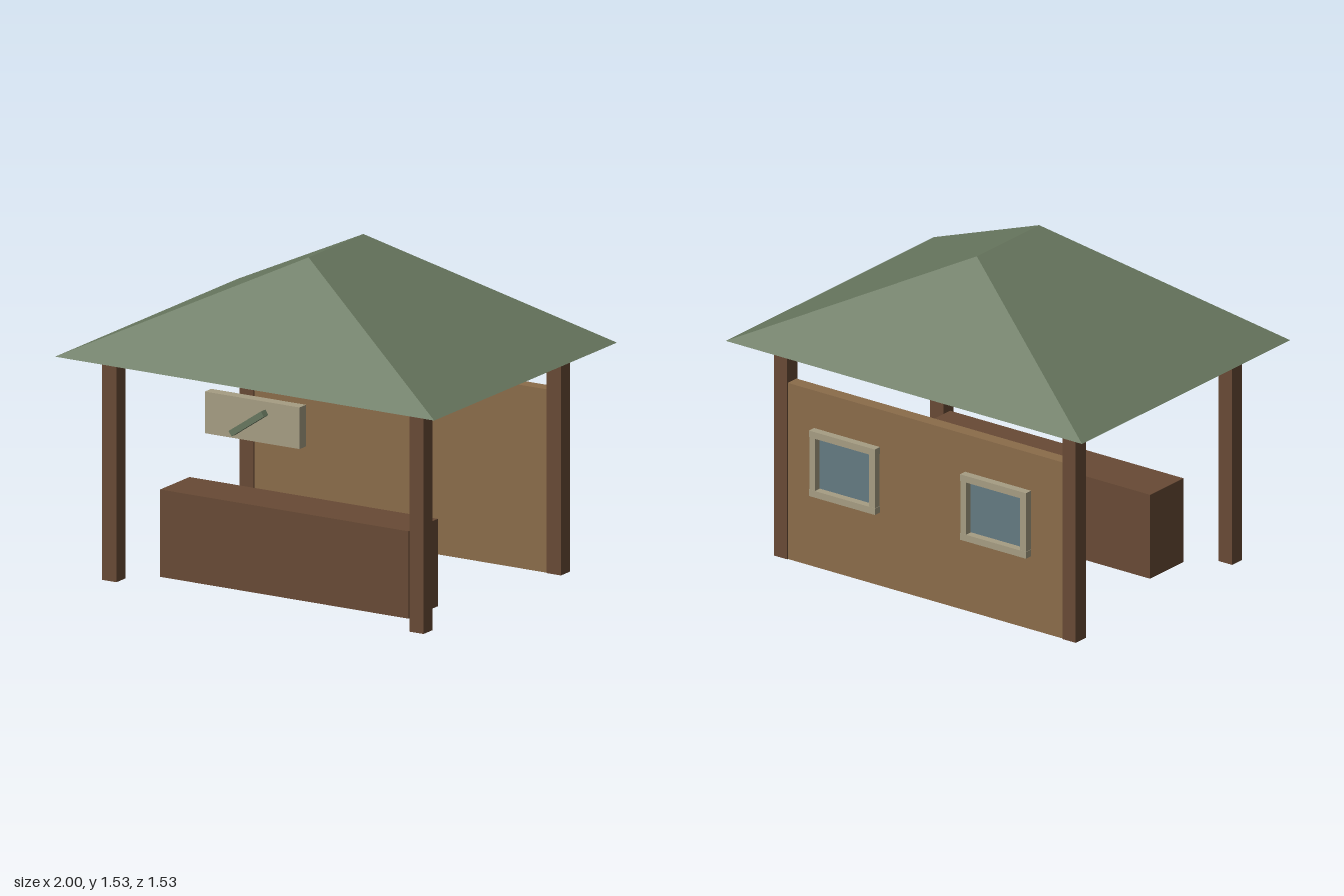
import * as THREE from 'three';
import { ConvexGeometry } from 'three/addons/geometries/ConvexGeometry.js';

function flat(name, color) {
  const m = new THREE.MeshStandardMaterial({ color });
  m.name = name;
  return m;
}

export function createModel() {
  const roofGreen = flat('roof green', 0x68775f);
  const darkWood = flat('dark wood', 0x684a35);
  const wallWood = flat('wall wood', 0x8b6c4a);
  const paleTrim = flat('pale trim', 0xa69d83);
  const glassBlue = flat('glass blue', 0x647a82);

  const model = new THREE.Group();
  model.name = 'openPavilion';

  const box = (parent, name, mat, [w, h, d], [x, y, z]) => {
    const mesh = new THREE.Mesh(new THREE.BoxGeometry(w, h, d), mat);
    mesh.name = name;
    mesh.position.set(x, y, z);
    parent.add(mesh);
    return mesh;
  };

  // Hipped roof with a flat underside and a ridge running front to back
  const eave = 1.048, ridge = 1.53;
  const points = [];
  for (const s of [-1, 1]) {
    points.push(new THREE.Vector3(-1, eave, s * 0.767), new THREE.Vector3(1, eave, s * 0.767));
    points.push(new THREE.Vector3(0, ridge, s * 0.23));
  }
  const roof = new THREE.Mesh(new ConvexGeometry(points), roofGreen);
  roof.name = 'roof';
  model.add(roof);

  // Corner posts
  for (const sx of [-1, 1]) {
    for (const sz of [-1, 1]) {
      box(model, 'cornerPost', darkWood, [0.075, 1.04, 0.075], [sx * 0.81, 0.52, sz * 0.576]);
    }
  }

  // Half-height back wall and front counter
  box(model, 'backWall', wallWood, [1.55, 0.85, 0.064], [0, 0.425, -0.576]);
  box(model, 'counter', darkWood, [1.31, 0.405, 0.246], [0, 0.2025, 0.31]);

  // Framed windows on the outside of the back wall
  for (const sx of [-1, 1]) {
    const win = new THREE.Group();
    win.name = 'window';
    win.position.set(sx * 0.424, 0.522, 0);
    box(win, 'windowGlass', glassBlue, [0.308, 0.25, 0.014], [0, 0, -0.625]);
    for (const s of [-1, 1]) {
      box(win, 'frameRail', paleTrim, [0.37, 0.032, 0.038], [0, s * 0.142, -0.648]);
      box(win, 'frameStile', paleTrim, [0.032, 0.252, 0.036], [s * 0.168, 0, -0.648]);
    }
    model.add(win);
  }

  // Hanging sign board with a slanted bar on its face
  box(model, 'signBoard', paleTrim, [0.5, 0.193, 0.054], [0, 0.886, 0.676]);
  const bar = box(model, 'signBar', roofGreen, [0.206, 0.028, 0.04], [-0.008, 0.877, 0.721]);
  bar.rotation.z = 0.595;

  return model;
}
